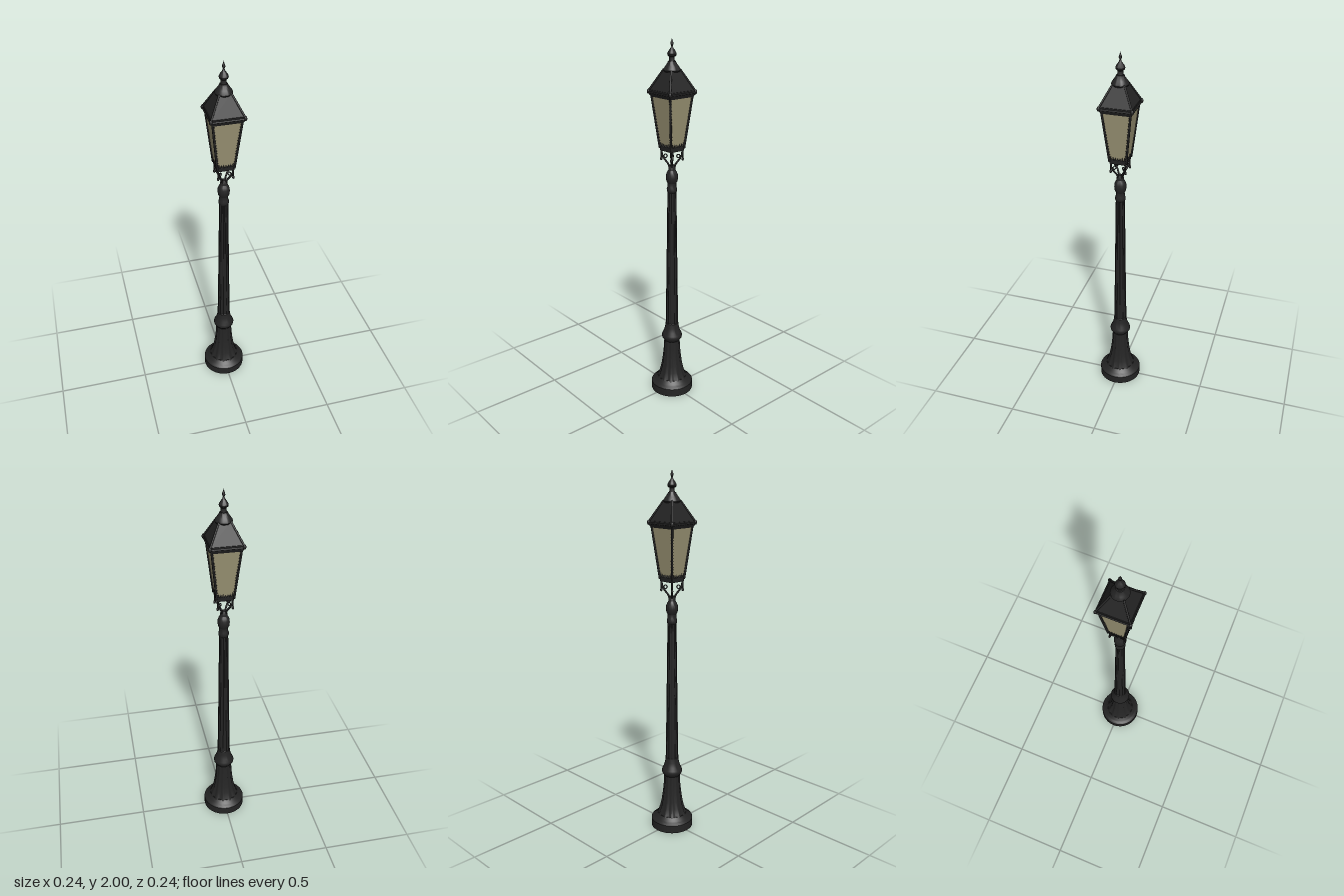
import * as THREE from 'three';
import { toCreasedNormals } from 'three/addons/utils/BufferGeometryUtils.js';

const iron = new THREE.MeshStandardMaterial({ color: 0x242424 });
iron.name = 'black iron';
const glass = new THREE.MeshStandardMaterial({ color: 0x9a9374, side: THREE.DoubleSide });
glass.name = 'frosted glass';

export function createModel() {
  const model = new THREE.Group();

  const add = (name, geometry, material = iron, parent = model) => {
    const mesh = new THREE.Mesh(geometry, material);
    mesh.name = name;
    parent.add(mesh);
    return mesh;
  };

  // Turned part from [radius, height] pairs; flutes cut vertical grooves
  const turned = (name, profile, segments = 32, flutes = 0, depth = 0) => {
    const g = new THREE.LatheGeometry(profile.map(([r, y]) => new THREE.Vector2(r, y)), segments);
    const p = g.attributes.position;
    for (let i = 0; flutes && i < p.count; i++) {
      const a = Math.atan2(p.getZ(i), p.getX(i));
      const k = 1 - depth * (0.5 + 0.5 * Math.cos(flutes * a));
      p.setX(i, p.getX(i) * k);
      p.setZ(i, p.getZ(i) * k);
    }
    return add(name, toCreasedNormals(g, 0.6));
  };

  // Square tapered block, given half widths and heights
  const block = (name, y0, half0, y1, half1, material = iron, open = false) => {
    const g = new THREE.CylinderGeometry(half1 * Math.SQRT2, half0 * Math.SQRT2, y1 - y0, 4, 1, open)
      .rotateY(Math.PI / 4).translate(0, (y0 + y1) / 2, 0).toNonIndexed();
    g.computeVertexNormals();
    return add(name, g, material);
  };

  // Straight rod between two points
  const rod = (name, a, b, r, parent) => {
    const from = new THREE.Vector3(...a), to = new THREE.Vector3(...b);
    const dir = to.clone().sub(from);
    const mesh = add(name, new THREE.CylinderGeometry(r, r, dir.length(), 8), iron, parent);
    mesh.position.copy(from).lerp(to, 0.5);
    mesh.quaternion.setFromUnitVectors(new THREE.Vector3(0, 1, 0), dir.normalize());
  };

  // Base, fluted flare, collar and shaft
  turned('base', [[0, 0], [0.118, 0], [0.118, 0.045], [0.113, 0.052], [0.104, 0.056],
    [0.097, 0.062], [0.082, 0.078], [0, 0.08]], 48);
  turned('flutedFlare', [[0.094, 0.06], [0.079, 0.088], [0.068, 0.12], [0.059, 0.16],
    [0.052, 0.21], [0.047, 0.26], [0.044, 0.32]], 96, 12, 0.08);
  turned('collar', [[0.042, 0.31], [0.047, 0.318], [0.056, 0.33], [0.058, 0.342], [0.055, 0.352],
    [0.046, 0.37], [0.039, 0.395], [0.036, 0.42], [0.03, 0.425]]);
  turned('shaft', [[0.036, 0.4], [0.031, 0.7], [0.027, 1.0], [0.024, 1.21]], 96, 12, 0.12);
  turned('shaftHead', [[0.02, 1.195], [0.027, 1.205], [0.028, 1.218], [0.024, 1.23], [0.023, 1.25],
    [0.03, 1.262], [0.032, 1.28], [0.031, 1.298], [0.025, 1.313], [0.019, 1.322],
    [0.019, 1.335], [0.012, 1.35], [0, 1.352]]);

  // Lantern body
  block('lanternFloor', 1.428, 0.044, 1.455, 0.047);
  block('lanternGlass', 1.455, 0.045, 1.712, 0.074, glass, true);

  // Four identical sides and corners
  for (let i = 0; i < 4; i++) {
    const corner = new THREE.Group();
    corner.name = 'lanternCorner' + (i + 1);
    corner.rotation.y = i * Math.PI / 2;
    model.add(corner);

    // Curved support arm and small scroll
    const arm = new THREE.CatmullRomCurve3([[0.007, 1.325], [0.014, 1.355], [0.027, 1.38],
      [0.036, 1.402], [0.039, 1.432]].map(([d, y]) => new THREE.Vector3(d, y, d)));
    add('supportArm', new THREE.TubeGeometry(arm, 14, 0.005, 8), iron, corner);
    const scroll = add('armScroll', new THREE.TorusGeometry(0.009, 0.003, 6, 14), iron, corner);
    scroll.position.set(0.024, 1.398, 0.024);
    scroll.rotation.y = -Math.PI / 4;

    // Hanging drop below the corner
    rod('dropStem', [0.04, 1.385, 0.04], [0.04, 1.435, 0.04], 0.0035, corner);
    const drop = add('dropBall', new THREE.SphereGeometry(0.0065, 10, 8), iron, corner);
    drop.position.set(0.04, 1.383, 0.04);
    drop.scale.y = 1.4;

    // Corner post edged with beads
    rod('cornerPost', [0.045, 1.44, 0.045], [0.0745, 1.715, 0.0745], 0.0055, corner);
    for (let j = 0; j < 16; j++) {
      const t = (j + 0.5) / 16, d = 0.046 + 0.028 * t;
      for (const [x, z] of [[d - 0.006, d], [d, d - 0.006]]) {
        add('postBead', new THREE.SphereGeometry(0.0032, 6, 4), iron, corner)
          .position.set(x, 1.458 + 0.25 * t, z);
      }
    }

    // Pointed cresting along the foot of the pane
    for (let j = -3; j <= 3; j++) {
      const h = 0.013 + 0.004 * Math.abs(j);
      add('crestPoint', new THREE.ConeGeometry(0.005, h, 6), iron, corner)
        .position.set(j * 0.0122, 1.453 + h / 2, 0.0465);
    }

    // Roof ridge, eave rail and corner knob
    rod('roofRidge', [0.083, 1.742, 0.083], [0.03, 1.845, 0.03], 0.005, corner);
    rod('eaveRail', [-0.085, 1.73, 0.085], [0.085, 1.73, 0.085], 0.005, corner);
    const knob = add('cornerKnob', new THREE.SphereGeometry(0.0085, 12, 8), iron, corner);
    knob.position.set(0.085, 1.734, 0.085);
    knob.scale.y = 1.5;
  }

  // Eaves and roof
  block('eaves', 1.708, 0.077, 1.724, 0.085);
  block('eaveBand', 1.724, 0.086, 1.742, 0.084);
  block('roof', 1.742, 0.08, 1.848, 0.031);

  // Round cap and finial
  turned('roofCap', [[0, 1.832], [0.04, 1.834], [0.045, 1.842], [0.042, 1.85], [0.034, 1.862],
    [0.024, 1.876], [0.02, 1.886], [0, 1.888]]);
  turned('finial', [[0.017, 1.88], [0.014, 1.892], [0.014, 1.907], [0.022, 1.914], [0.024, 1.922],
    [0.02, 1.932], [0.012, 1.944], [0.006, 1.952], [0.004, 1.962], [0.008, 1.97],
    [0.007, 1.978], [0.003, 1.988], [0, 2.0]], 20);

  return model;
}
